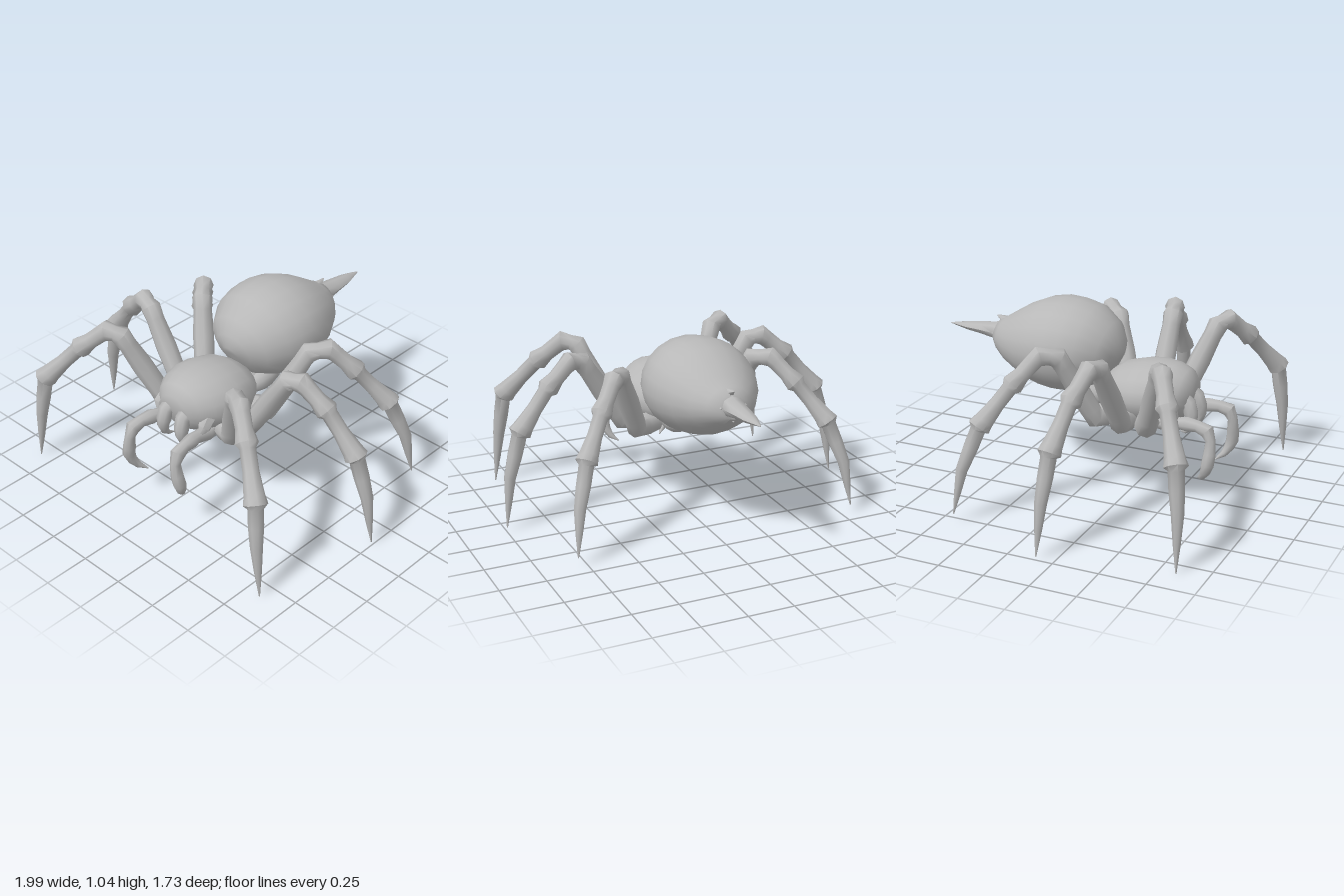
import * as THREE from 'three';
import { toCreasedNormals } from 'three/addons/utils/BufferGeometryUtils.js';

const V = (x, y, z) => new THREE.Vector3(x, y, z);

// Closed loft: each section is [x, y, z, radiusAcross, radiusOther]; side is the across direction.
function loft(sections, side, segments, crease = 1) {
  const pos = [], index = [], n = sections.length;
  const centers = sections.map((s) => V(s[0], s[1], s[2]));
  sections.forEach((s, i) => {
    const t = centers[Math.min(i + 1, n - 1)].clone().sub(centers[Math.max(i - 1, 0)]).normalize();
    const u = side.clone().addScaledVector(t, -side.dot(t)).normalize();
    const v = t.clone().cross(u);
    for (let j = 0; j < segments; j++) {
      const a = (j / segments) * Math.PI * 2;
      const p = centers[i].clone()
        .addScaledVector(u, Math.cos(a) * s[3])
        .addScaledVector(v, Math.sin(a) * (s[4] ?? s[3]));
      pos.push(p.x, p.y, p.z);
    }
  });
  pos.push(...centers[0].toArray(), ...centers[n - 1].toArray());
  for (let j = 0; j < segments; j++) {
    const k = (j + 1) % segments, last = (n - 1) * segments;
    for (let i = 0; i < n - 1; i++) {
      const a = i * segments + j, b = i * segments + k;
      index.push(a, b, b + segments, a, b + segments, a + segments);
    }
    index.push(n * segments, k, j, n * segments + 1, last + j, last + k);
  }
  const g = new THREE.BufferGeometry();
  g.setAttribute('position', new THREE.Float32BufferAttribute(pos, 3));
  g.setIndex(index);
  return toCreasedNormals(g, crease);
}

// Body rings given as [z, top, bottom, halfWidth]
const bodyRings = (rows) => rows.map(([z, top, bottom, w]) => [0, (top + bottom) / 2, z, w, (top - bottom) / 2]);

// Stations along a leg: [joint index, fraction to next joint, radius]
const LEG_STATIONS = [
  [0, 0, 0.055], [0, 0.6, 0.065], [1, 0, 0.062], [1, 0.12, 0.055], [1, 0.5, 0.058], [1, 0.85, 0.05],
  [2, 0, 0.056], [2, 0.45, 0.044], [3, 0, 0.056], [3, 0.2, 0.047], [3, 0.6, 0.045], [3, 0.95, 0.06],
  [4, 0.06, 0.042], [4, 0.45, 0.042], [4, 0.85, 0.054], [5, 0, 0.063], [5, 0.07, 0.042],
  [5, 0.5, 0.041], [6, 0, 0.033], [6, 0.5, 0.02], [7, 0, 0.003],
];

// Joints: hip, coxa end, knee start, knee end, shin middle, ankle, claw bend, tip
const LEGS = {
  frontLeg: [[0.1, 0.48, 0.38], [0.255, 0.49, 0.43], [0.415, 0.86, 0.565], [0.485, 0.878, 0.605],
    [0.615, 0.75, 0.69], [0.78, 0.54, 0.805], [0.81, 0.3, 0.83], [0.84, 0.005, 0.84]],
  middleLeg: [[0.1, 0.48, 0.29], [0.265, 0.49, 0.29], [0.5, 0.86, 0.27], [0.575, 0.875, 0.25],
    [0.72, 0.75, 0.215], [0.89, 0.54, 0.185], [0.96, 0.3, 0.17], [0.992, 0.02, 0.155]],
  backLeg: [[0.1, 0.48, 0.2], [0.24, 0.49, 0.13], [0.39, 0.845, -0.01], [0.46, 0.86, -0.09],
    [0.57, 0.72, -0.19], [0.7, 0.525, -0.31], [0.77, 0.3, -0.38], [0.8, 0.055, -0.42]],
};

function legGeometry(joints, mirror) {
  const pts = joints.map(([x, y, z]) => V(x * mirror, y, z));
  const sections = LEG_STATIONS.map(([i, f, r]) => {
    const p = pts[i].clone().lerp(pts[Math.min(i + 1, 7)], f);
    return [...p.toArray(), r];
  });
  const out = pts[7].clone().sub(pts[0]);
  return loft(sections, V(-out.z, 0, out.x).normalize(), 8);
}

export function createModel() {
  const model = new THREE.Group();
  model.name = 'spider';
  const grey = new THREE.MeshStandardMaterial({ color: 0xb8b8b8 });
  grey.name = 'grey shell';
  const add = (name, geometry) => {
    const mesh = new THREE.Mesh(geometry, grey);
    mesh.name = name;
    model.add(mesh);
    return mesh;
  };
  const X = V(1, 0, 0);

  // Egg-shaped abdomen, running front to back
  add('abdomen', loft(bodyRings([
    [0.17, 0.79, 0.7, 0.05], [0.15, 0.86, 0.65, 0.12], [0.1, 0.94, 0.59, 0.2], [0, 1.015, 0.55, 0.27],
    [-0.08, 1.037, 0.535, 0.294], [-0.16, 1.042, 0.533, 0.302], [-0.25, 1.025, 0.545, 0.288], [-0.35, 0.985, 0.577, 0.252],
    [-0.45, 0.93, 0.638, 0.192], [-0.52, 0.89, 0.695, 0.13], [-0.56, 0.87, 0.735, 0.075],
  ]), X, 20));

  // Tail spike with small thorns round its root
  add('tailSpike', loft(bodyRings([
    [-0.5, 0.87, 0.72, 0.075], [-0.58, 0.845, 0.75, 0.06], [-0.66, 0.835, 0.765, 0.05],
    [-0.75, 0.823, 0.778, 0.04], [-0.82, 0.811, 0.79, 0.018], [-0.863, 0.802, 0.797, 0.003],
  ]), X, 8));
  for (const [x, y, tipY] of [[0, 0.85, 0.885], [0, 0.75, 0.72], [0.06, 0.8, 0.8], [-0.06, 0.8, 0.8]]) {
    add('tailThorn', loft([[x * 0.8, y, -0.49, 0.04], [x * 1.2, tipY, -0.57, 0.003]], X, 6));
  }

  // Head and chest shell
  add('cephalothorax', loft(bodyRings([
    [0.1, 0.62, 0.48, 0.1], [0.15, 0.68, 0.46, 0.17], [0.22, 0.73, 0.44, 0.215], [0.32, 0.757, 0.425, 0.235],
    [0.41, 0.768, 0.43, 0.23], [0.49, 0.758, 0.45, 0.2], [0.55, 0.735, 0.47, 0.155], [0.59, 0.685, 0.51, 0.1],
  ]), X, 18));

  // Waist joining chest and abdomen
  add('waist', loft([
    [0, 0.53, 0.22, 0.12, 0.07], [0, 0.54, 0.12, 0.08, 0.06], [0, 0.57, 0.02, 0.1, 0.08], [0, 0.62, -0.08, 0.12, 0.08],
  ], X, 10));

  for (const m of [1, -1]) {
    const sideName = m > 0 ? 'left' : 'right';
    const flip = (rows) => rows.map(([x, ...rest]) => [x * m, ...rest]);

    for (const [name, joints] of Object.entries(LEGS)) add(`${sideName} ${name}`, legGeometry(joints, m));

    const bulge = add(`${sideName} bellyBulge`, new THREE.SphereGeometry(1, 12, 8));
    bulge.scale.set(0.07, 0.07, 0.13);
    bulge.position.set(0.07 * m, 0.555, -0.01);
    bulge.rotation.x = 0.25;

    // Feeler arm: forward, then curling down and back
    add(`${sideName} pedipalp`, loft(flip([
      [0.12, 0.48, 0.4, 0.045], [0.14, 0.475, 0.5, 0.042], [0.145, 0.49, 0.58, 0.034], [0.152, 0.495, 0.62, 0.04],
      [0.16, 0.495, 0.68, 0.033], [0.167, 0.48, 0.735, 0.04], [0.17, 0.43, 0.755, 0.028], [0.18, 0.36, 0.755, 0.034],
      [0.193, 0.305, 0.75, 0.035], [0.185, 0.26, 0.735, 0.028], [0.165, 0.22, 0.71, 0.018], [0.13, 0.195, 0.675, 0.003],
    ]), X, 8));

    // Jaw and hooked fang
    add(`${sideName} jaw`, loft(flip([
      [0.06, 0.61, 0.53, 0.045], [0.062, 0.57, 0.59, 0.042], [0.065, 0.52, 0.605, 0.04],
      [0.068, 0.48, 0.61, 0.032], [0.068, 0.44, 0.6, 0.022], [0.065, 0.415, 0.575, 0.012], [0.055, 0.408, 0.545, 0.003],
    ]), X, 8));

    // Small mouth prong beside the jaw
    add(`${sideName} mouthProng`, loft(flip([
      [0.15, 0.59, 0.48, 0.045], [0.165, 0.54, 0.54, 0.035], [0.15, 0.49, 0.565, 0.004],
    ]), X, 6));
  }
  return model;
}
